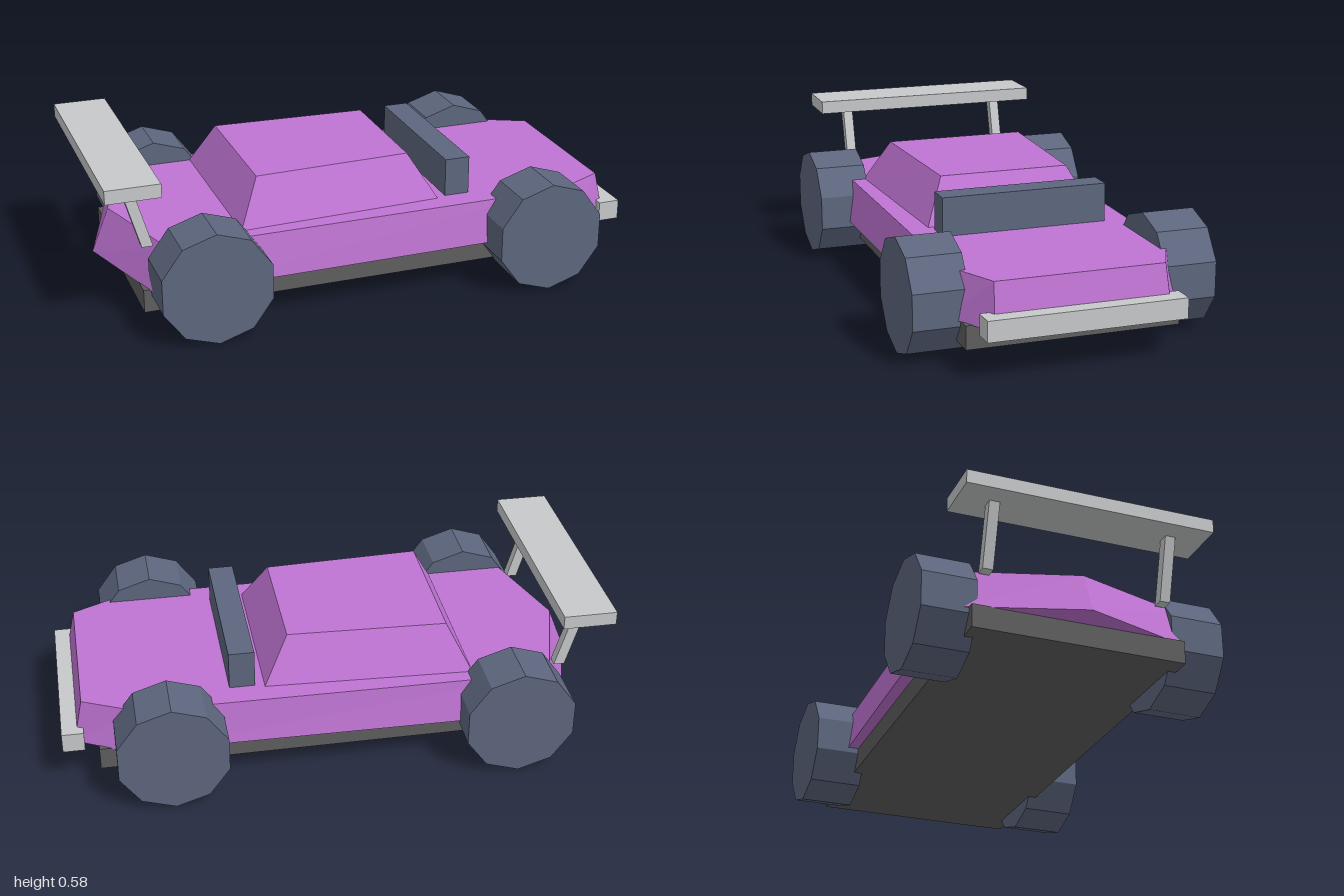
import * as THREE from 'three';

const paint = (name, color) => {
  const m = new THREE.MeshStandardMaterial({ color });
  m.name = name;
  return m;
};

// Full convex outline from its +z half, listed from rear to nose as [x, z]
const mirrorOutline = (half) => [
  ...half,
  ...half.filter(([, z]) => z > 0).reverse().map(([x, z]) => [x, -z]),
];

// Closed flat-sided solid between a lower and an upper outline
function loft(lower, y0, upper, y1) {
  const bottom = lower.map(([x, z]) => [x, y0, z]);
  const top = upper.map(([x, z]) => [x, y1, z]);
  const n = bottom.length;
  const pos = [];
  const tri = (...corners) => corners.forEach((c) => pos.push(...c));
  for (let i = 0; i < n; i++) {
    const j = (i + 1) % n;
    tri(bottom[i], bottom[j], top[j]);
    tri(bottom[i], top[j], top[i]);
    if (i > 0 && j > 0) {
      tri(top[0], top[i], top[j]);
      tri(bottom[0], bottom[j], bottom[i]);
    }
  }
  const g = new THREE.BufferGeometry();
  g.setAttribute('position', new THREE.Float32BufferAttribute(pos, 3));
  g.computeVertexNormals();
  return g;
}

export function createModel() {
  const car = new THREE.Group();
  car.name = 'racingCar';

  const purple = paint('bodyPurple', 0xbf74d3);
  const slate = paint('slateBlue', 0x5d667e);
  const dark = paint('chassisGrey', 0x5e5e5e);
  const silver = paint('silver', 0xc6c8c9);
  slate.flatShading = true;

  const add = (name, geometry, material) => {
    const mesh = new THREE.Mesh(geometry, material);
    mesh.name = name;
    car.add(mesh);
    return mesh;
  };
  // Box from its limits on x and y, centred on z
  const box = (name, x0, x1, y0, y1, width, material) =>
    add(name, new THREE.BoxGeometry(x1 - x0, y1 - y0, width), material)
      .position.set((x0 + x1) / 2, (y0 + y1) / 2, 0);

  // Chassis and bumper
  box('chassis', -0.87, 0.87, 0.08, 0.165, 0.77, dark);
  box('frontBumper', 0.92, 1, 0.147, 0.221, 0.71, silver);

  // Body with a pointed tail and a chamfered nose
  add('body', loft(
    mirrorOutline([[-0.97, 0], [-0.83, 0.44], [0.76, 0.42], [0.955, 0.315]]), 0.163,
    mirrorOutline([[-0.905, 0], [-0.78, 0.415], [0.72, 0.4], [0.92, 0.305]]), 0.325,
  ), purple);

  // Cabin
  add('cabin', loft(
    mirrorOutline([[-0.505, 0.36], [0.26, 0.325]]), 0.323,
    mirrorOutline([[-0.42, 0.27], [0.165, 0.245]]), 0.487,
  ), purple);

  // Air scoop across the hood
  box('airScoop', 0.293, 0.387, 0.32, 0.467, 0.62, slate);

  // Rear wing on two slanted struts
  box('rearWing', -1, -0.805, 0.534, 0.584, 0.905, silver);
  for (const side of [1, -1]) {
    const strut = add('wingStrut', loft(
      mirrorOutline([[-0.859, 0.019], [-0.819, 0.019]]), 0.31,
      mirrorOutline([[-0.925, 0.019], [-0.885, 0.019]]), 0.54,
    ), silver);
    strut.position.z = side * 0.325;
  }

  // Ten-sided wheels
  const wheel = new THREE.CylinderGeometry(0.207, 0.207, 0.195, 10).rotateX(Math.PI / 2);
  for (const [name, x] of [['rearWheel', -0.645], ['frontWheel', 0.616]]) {
    for (const side of [1, -1]) {
      add(name, wheel, slate).position.set(x, 0.207, side * 0.452);
    }
  }

  return car;
}
